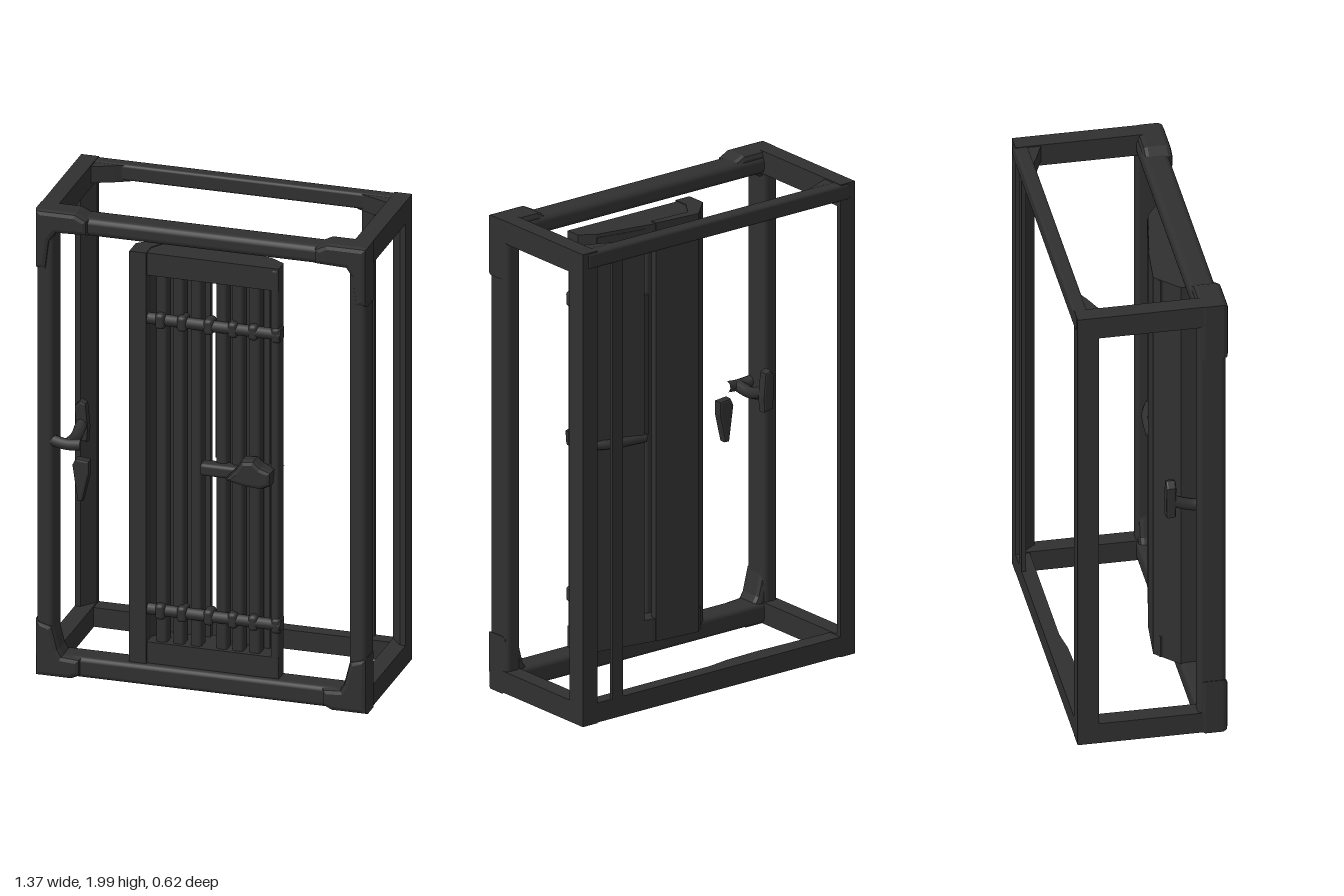
import * as THREE from 'three';
import { RoundedBoxGeometry } from 'three/addons/geometries/RoundedBoxGeometry.js';

export function createModel() {
  const model = new THREE.Group();
  const iron = new THREE.MeshStandardMaterial({ color: 0x303030 });
  iron.name = 'dark iron';

  const group = (name) => {
    const g = new THREE.Group();
    g.name = name;
    model.add(g);
    return g;
  };
  const add = (name, geometry, parent) => {
    const mesh = new THREE.Mesh(geometry, iron);
    mesh.name = name;
    parent.add(mesh);
  };
  // Box given by its limits, optionally with rounded edges
  const bar = (name, [x0, x1], [y0, y1], [z0, z1], radius, parent) => {
    const size = [x1 - x0, y1 - y0, z1 - z0];
    const g = radius ? new RoundedBoxGeometry(...size, 2, radius) : new THREE.BoxGeometry(...size);
    g.translate((x0 + x1) / 2, (y0 + y1) / 2, (z0 + z1) / 2);
    add(name, g, parent);
  };
  const outline = (points) => new THREE.Shape(points.map(([a, b]) => new THREE.Vector2(a, b)));
  // Plan outline (x, z) raised from y0 to y1
  const raise = (name, points, y0, y1, parent) => {
    const g = new THREE.ExtrudeGeometry(outline(points.map(([x, z]) => [x, -z])), { depth: y1 - y0, bevelEnabled: false });
    g.rotateX(-Math.PI / 2).translate(0, y0, 0);
    add(name, g, parent);
  };
  // Front outline (x, y) pushed from z0 to z1, with an optional bevel
  const push = (name, points, z0, z1, bevel, parent) => {
    const g = new THREE.ExtrudeGeometry(outline(points), {
      depth: z1 - z0 - 2 * bevel, bevelEnabled: bevel > 0, bevelSize: bevel, bevelThickness: bevel,
      bevelOffset: -bevel, bevelSegments: 2,
    });
    g.translate(0, 0, z0 + bevel);
    add(name, g, parent);
  };
  const rod = (name, points, radius, parent) => {
    const path = new THREE.CatmullRomCurve3(points.map((p) => new THREE.Vector3(...p)));
    add(name, new THREE.TubeGeometry(path, 12, radius, 8), parent);
  };

  // Outer cage: posts, side rails and corner braces, mirrored left and right
  const frame = group('frame');
  for (const s of [-1, 1]) {
    const span = (a, b) => (s > 0 ? [a, b] : [-b, -a]);
    const mirror = (points) => points.map(([x, v]) => [s * x, v]);
    bar('frontPost', span(0.612, 0.683), [0.02, 1.99], [0.178, 0.29], 0.02, frame);
    raise('backPost', mirror([[0.685, -0.308], [0.612, -0.308], [0.612, -0.285], [0.662, -0.222], [0.685, -0.222]]), 0.015, 2, frame);
    bar('topSideRail', span(0.613, 0.685), [1.905, 2], [-0.3, 0.26], 0, frame);
    bar('bottomSideRail', span(0.613, 0.685), [0.015, 0.105], [-0.3, 0.26], 0, frame);
    // Thickened joints that taper into the rails and posts
    push('topFrontJoint', mirror([[0.687, 2], [0.52, 2], [0.47, 1.975], [0.47, 1.91], [0.6, 1.905],
      [0.625, 1.87], [0.64, 1.75], [0.687, 1.75]]), 0.185, 0.3, 0.02, frame);
    push('bottomFrontJoint', mirror([[0.687, 0.01], [0.54, 0.01], [0.5, 0.03], [0.5, 0.1], [0.575, 0.105],
      [0.59, 0.13], [0.615, 0.23], [0.687, 0.25]]), 0.185, 0.298, 0.02, frame);
    raise('topBackBrace', mirror([[0.64, -0.3], [0.47, -0.27], [0.53, -0.24], [0.615, -0.205], [0.64, -0.2]]), 1.925, 1.995, frame);
  }
  bar('topFrontRail', [-0.66, 0.66], [1.905, 1.98], [0.178, 0.285], 0.025, frame);
  bar('bottomFrontRail', [-0.66, 0.66], [0.018, 0.105], [0.178, 0.285], 0.02, frame);
  bar('topBackRail', [-0.66, 0.66], [1.93, 1.998], [-0.312, -0.255], 0.012, frame);
  raise('bottomBackRail', [[-0.64, -0.308], [0.64, -0.308], [0.64, -0.25], [0, -0.25],
    [-0.1, -0.235], [-0.25, -0.23], [-0.64, -0.24]], 0.018, 0.1, frame);
  bar('thinBackPost', [0.482, 0.535], [0.05, 1.95], [-0.308, -0.29], 0, frame);

  // Door with folded back panels and a gap between them
  const door = group('door');
  raise('hingePanel', [[-0.305, 0.18], [-0.21, 0.087], [-0.01, 0.105], [-0.01, 0.135],
    [-0.19, 0.13], [-0.235, 0.2], [-0.235, 0.265], [-0.305, 0.265]], 0.1, 1.858, door);
  raise('latchPanel', [[0.04, 0.115], [0.25, 0.152], [0.25, 0.18], [0.04, 0.145]], 0.12, 1.84, door);
  bar('gapCover', [0.015, 0.045], [0.97, 1.56], [0.12, 0.145], 0, door);
  const railPlan = [[-0.24, 0.11], [-0.2, 0.09], [0, 0.11], [0.25, 0.155], [0.312, 0.195], [0.312, 0.26], [-0.24, 0.255]];
  raise('doorTopRail', railPlan, 1.76, 1.855, door);
  raise('doorBottomRail', railPlan, 0.1, 0.195, door);
  bar('latchStile', [0.278, 0.313], [0.1, 1.85], [0.19, 0.262], 0.012, door);
  for (const x of [-0.18, -0.11, -0.038, 0.068, 0.135, 0.205])
    bar('verticalSlat', [x - 0.023, x + 0.023], [0.15, 1.8], [0.175, 0.24], 0.012, door);
  for (const y of [0.33, 1.57]) {
    rod('crossBar', [[-0.235, y, 0.235], [0, y, 0.24], [0.32, y, 0.245]], 0.025, door);
    for (const x of [-0.18, -0.09, 0.02, 0.12, 0.205, 0.3])
      bar('crossBarKnuckle', [x - 0.02, x + 0.02], [y - 0.033, y + 0.033], [0.2, 0.268], 0.015, door);
  }

  // Door latch, with a second bar across the back
  const latch = group('latch');
  bar('latchLever', [-0.015, 0.19], [0.935, 0.988], [0.21, 0.27], 0.015, latch);
  push('latchPlate', [[0.1, 0.945], [0.18, 0.925], [0.25, 0.92], [0.29, 0.94], [0.295, 1],
    [0.25, 1.015], [0.22, 1.04], [0.17, 1.035], [0.14, 0.99]], 0.23, 0.308, 0.018, latch);
  rod('latchBackBar', [[0.03, 0.96, 0.125], [0.2, 0.965, 0.14], [0.31, 0.97, 0.19]], 0.02, latch);

  // Hook: a short cross piece on the front post and an arm reaching back to an upright blade
  const hook = group('hook');
  rod('hookCrossPiece', [[-0.635, 1.015, 0.265], [-0.56, 1.005, 0.275], [-0.5, 1.01, 0.275]], 0.024, hook);
  rod('hookArm', [[-0.555, 1.005, 0.275], [-0.552, 1.0, 0.18], [-0.555, 1.03, 0.09]], 0.025, hook);
  push('hookBlade', [[-0.575, 0.96], [-0.53, 0.95], [-0.525, 1.01], [-0.535, 1.115],
    [-0.56, 1.125], [-0.582, 1.1]], 0.07, 0.11, 0.008, hook);

  // Loose tapered peg below the hook
  push('peg', [[-0.508, 0.78], [-0.488, 0.78], [-0.46, 0.9], [-0.46, 0.955],
    [-0.515, 0.96], [-0.53, 0.93]], 0.265, 0.305, 0.008, model);
  return model;
}
